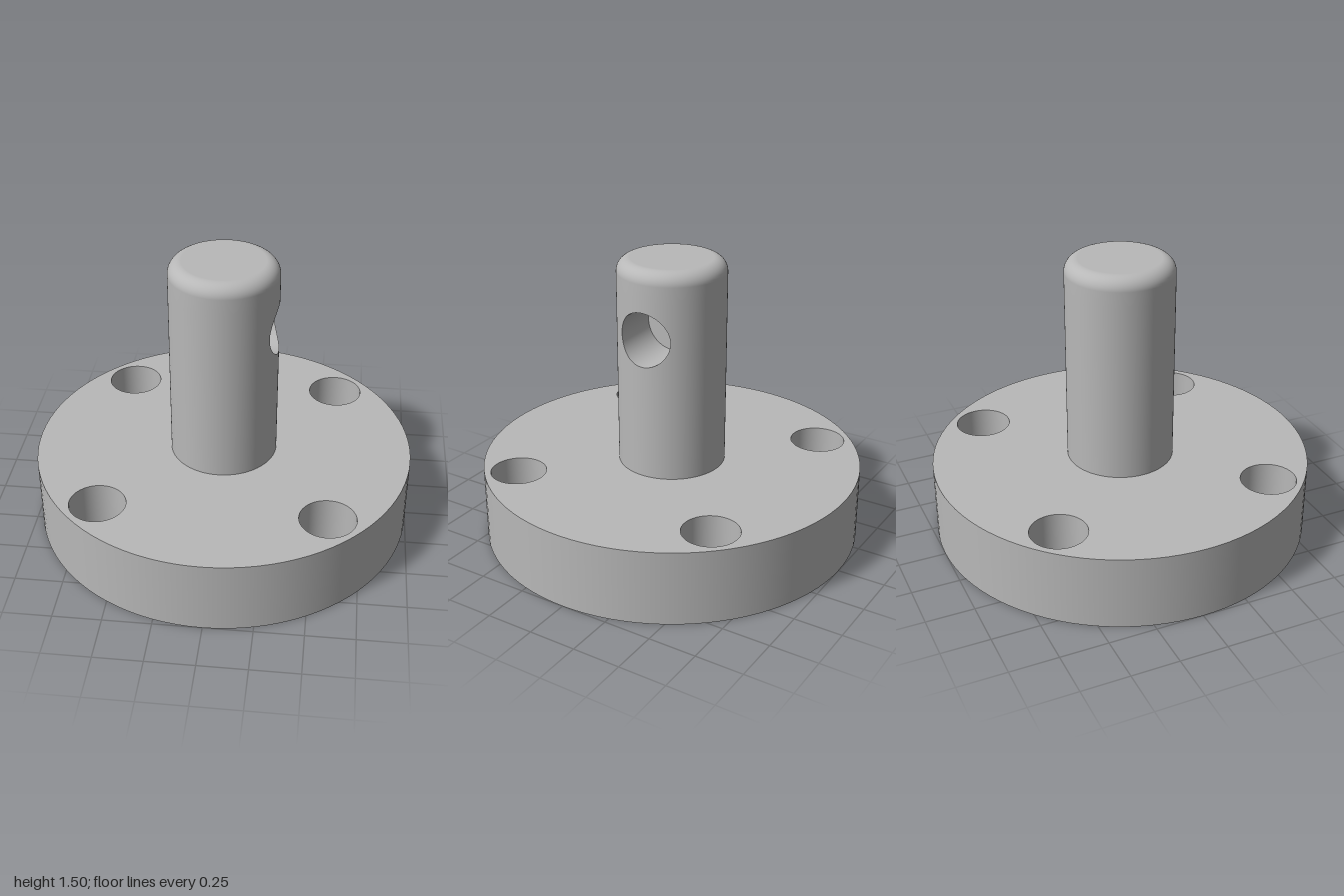
import * as THREE from 'three';
import { mergeVertices } from 'three/addons/utils/BufferGeometryUtils.js';

const SEG = 96;                                   // sides of every round part
const BASE_R = 1, BASE_H = 0.393;                 // flange
const BOLT_R = 0.145, BOLT_POS = 0.581;           // four through holes
const RECESS_R = 0.39, RECESS_H = 0.14;           // recess underneath
const R = 0.282, TOP = 1.5, FILLET = 0.07;        // shaft
const BORE_R = 0.143, BORE_Y = 1.143, BORE_X = 0; // blind cross hole, entering from +x
const HALF = 0.2, ARC = Math.PI / 4;              // wall patch around the cross hole

const metal = new THREE.MeshStandardMaterial({ color: 0xb8b8b8 });
metal.name = 'grey metal';

function add(group, name, geometry) {
  const mesh = new THREE.Mesh(geometry, metal);
  mesh.name = name;
  group.add(mesh);
  return mesh;
}

// Surface of revolution; a rising profile faces outward, a falling one inward
function lathe(points, segments = SEG, start = 0, length = Math.PI * 2) {
  return new THREE.LatheGeometry(points.map(([x, y]) => new THREE.Vector2(x, y)), segments, start, length);
}

// Flat horizontal disc with round holes given as [x, z, radius]
function plate(radius, holes, y, faceUp) {
  const shape = new THREE.Shape().absarc(0, 0, radius, 0, Math.PI * 2);
  for (const [x, z, r] of holes) shape.holes.push(new THREE.Path().absarc(x, z, r, 0, Math.PI * 2, true));
  return new THREE.ShapeGeometry(shape, SEG / 2).rotateX(faceUp ? -Math.PI / 2 : Math.PI / 2).translate(0, y, 0);
}

// Grid of points at(i, j); its front is on the side of di x dj
function grid(ni, nj, at) {
  const pos = [], index = [];
  for (let i = 0; i <= ni; i++) {
    for (let j = 0; j <= nj; j++) {
      pos.push(...at(i, j));
      if (i === ni || j === nj) continue;
      const a = i * (nj + 1) + j, b = a + nj + 1;
      index.push(a, b, b + 1, a, b + 1, a + 1);
    }
  }
  let g = new THREE.BufferGeometry();
  g.setAttribute('position', new THREE.Float32BufferAttribute(pos, 3));
  g.setIndex(index);
  g = mergeVertices(g, 1e-5);
  g.computeVertexNormals();
  return g;
}

// Point number i on the outline of the square [-1, 1], 24 steps per side
const SIDE = SEG / 4;
function squarePoint(i) {
  const side = Math.floor(i / SIDE) % 4, t = (i % SIDE) / SIDE * 2 - 1;
  return [[1, t], [-t, 1], [-1, -t], [t, -1]][side];
}

// Cross hole outline as [angle around the shaft, height]
function boreRim(i) {
  const [u, v] = squarePoint(i), phi = Math.atan2(v, u);
  return [Math.asin(BORE_R * Math.cos(phi) / R), BORE_Y + BORE_R * Math.sin(phi)];
}

const onShaft = (angle, y) => [R * Math.cos(angle), y, R * Math.sin(angle)];

function createFlange() {
  const flange = new THREE.Group();
  flange.name = 'flange';
  const bolts = [];
  for (const sx of [-1, 1]) for (const sz of [-1, 1]) bolts.push([sx * BOLT_POS, sz * BOLT_POS, BOLT_R]);

  add(flange, 'flangeTop', plate(BASE_R, [...bolts, [0, 0, R]], BASE_H, true));
  add(flange, 'flangeBottom', plate(BASE_R, [...bolts, [0, 0, RECESS_R]], 0, false));
  add(flange, 'flangeRim', lathe([[BASE_R, 0], [BASE_R, BASE_H]]));
  for (const [x, z] of bolts) {
    add(flange, 'boltHoleWall', lathe([[BOLT_R, BASE_H], [BOLT_R, 0]])).position.set(x, 0, z);
  }
  add(flange, 'recessWall', lathe([[RECESS_R, RECESS_H], [RECESS_R, 0]]));
  add(flange, 'recessCeiling', plate(RECESS_R, [], RECESS_H, false));
  return flange;
}

function createShaft() {
  const shaft = new THREE.Group();
  shaft.name = 'shaft';
  const low = BORE_Y - HALF, high = BORE_Y + HALF;

  add(shaft, 'lowerShaft', lathe([[R, BASE_H], [R, low]]));
  add(shaft, 'middleShaft', lathe([[R, low], [R, high]], SEG * 3 / 4, Math.PI / 2 + ARC, Math.PI * 2 - 2 * ARC));

  // Upper shaft with rounded edge and flat end
  const profile = [[R, high]];
  for (let i = 0; i <= 10; i++) {
    const a = i / 10 * Math.PI / 2;
    profile.push([R - FILLET + FILLET * Math.cos(a), TOP - FILLET + FILLET * Math.sin(a)]);
  }
  profile.push([0, TOP]);
  add(shaft, 'upperShaft', lathe(profile));

  // Curved wall patch running from its square border to the cross hole
  const patch = grid(SEG, 8, (i, j) => {
    const [u, v] = squarePoint(i), [angle, y] = boreRim(i), t = j / 8;
    return onShaft(THREE.MathUtils.lerp(u * ARC, angle, t), THREE.MathUtils.lerp(BORE_Y + v * HALF, y, t));
  });
  const p = patch.attributes.position;
  for (let i = 0; i < p.count; i++) patch.attributes.normal.setXYZ(i, p.getX(i) / R, 0, p.getZ(i) / R);
  // Angle and height run clockwise seen from outside, so turn the faces over
  patch.index.array.reverse();
  add(shaft, 'shaftWallAroundCrossHole', patch);

  // Cross hole: inner wall and flat floor
  const bore = grid(SEG, 1, (i, j) => {
    const [x, y, z] = onShaft(...boreRim(i));
    return [j ? BORE_X : x, y, z];
  });
  bore.index.array.reverse();
  bore.computeVertexNormals();
  add(shaft, 'crossHoleWall', bore);
  const floor = new THREE.CircleGeometry(BORE_R, SEG).rotateY(Math.PI / 2).translate(BORE_X, BORE_Y, 0);
  add(shaft, 'crossHoleFloor', floor);
  return shaft;
}

export function createModel() {
  const model = new THREE.Group();
  model.name = 'flangedShaft';
  model.add(createFlange(), createShaft());
  return model;
}
